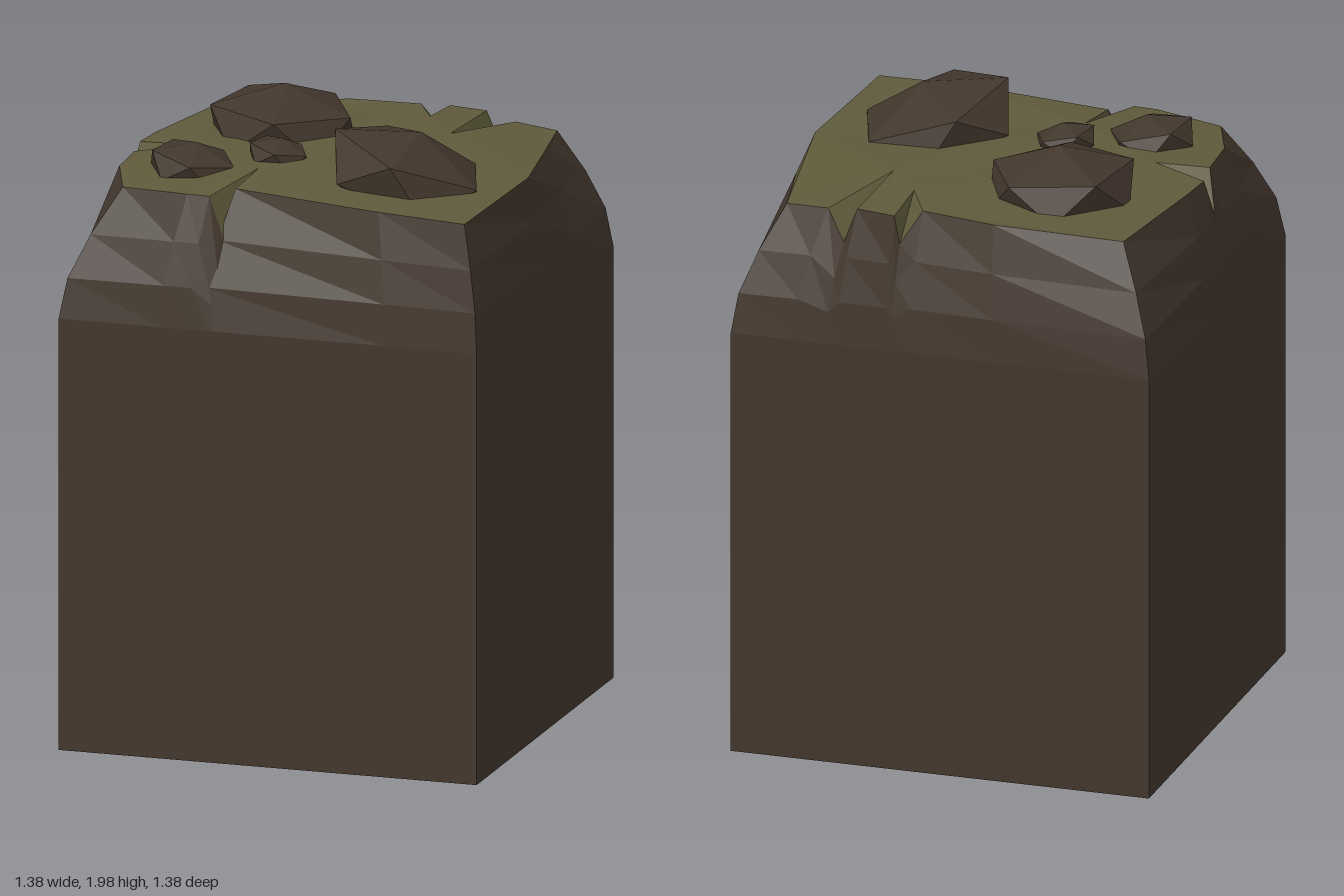
import * as THREE from 'three';

const soil = new THREE.MeshStandardMaterial({ color: 0x42362c, flatShading: true });
const grass = new THREE.MeshStandardMaterial({ color: 0x5f5a3b, flatShading: true });

// Rim of the turf, counterclockwise from above: [x, z, y].
// A crack is an object: left lip, inner tip, right lip, and the low point on the wall.
const rim = [
  [-0.56, -0.55, 1.8],
  [-0.63, -0.1, 1.81],
  { lip: [-0.64, 0.02, 1.81], tip: [-0.46, 0.08, 1.83], end: [-0.62, 0.14, 1.81], low: [-0.66, 0.07, 1.68] },
  [-0.61, 0.32, 1.81],
  [-0.53, 0.53, 1.8],
  [-0.3, 0.585, 1.81],
  { lip: [-0.225, 0.59, 1.81], tip: [-0.15, 0.32, 1.84], end: [-0.165, 0.51, 1.82], low: [-0.165, 0.6, 1.65] },
  [0.34, 0.61, 1.81],
  [0.63, 0.63, 1.8],
  [0.655, 0.06, 1.81],
  [0.6, -0.3, 1.81],
  [0.55, -0.55, 1.8],
  { lip: [0.405, -0.575, 1.81], tip: [0.29, -0.27, 1.84], end: [0.3, -0.605, 1.83], low: [0.34, -0.62, 1.72] },
  { lip: [0.17, -0.63, 1.83], tip: [0.17, -0.43, 1.845], end: [0.09, -0.585, 1.84], low: [0.15, -0.635, 1.74] },
  [-0.15, -0.61, 1.83],
];
const HALF = 0.69;

const vec = ([x, z, y]) => new THREE.Vector3(x, y, z);

function facets(name, triangles, material) {
  const geometry = new THREE.BufferGeometry().setFromPoints(triangles);
  geometry.computeVertexNormals();
  const mesh = new THREE.Mesh(geometry, material);
  mesh.name = name;
  return mesh;
}

// Push a rim point out to the square footprint, snapping near-corners to the corner
function toSquare(p) {
  const k = HALF / Math.max(Math.abs(p.x), Math.abs(p.z));
  const snap = (v) => (Math.abs(v * k) > 0.62 ? Math.sign(v) * HALF : v * k);
  return new THREE.Vector3(snap(p.x), 1.4, snap(p.z));
}

// Earth block: rim flares to the square shoulder, then drops straight to the base
function earthBlock() {
  const top = rim.flatMap((e) => (e.lip ? [e.lip, e.low, e.end] : [e])).map(vec);
  const square = top.map(toSquare);
  const flare = (drop, out) => top.map((p, i) => {
    const q = p.clone().lerp(square[i], out);
    q.y = p.y + (1.4 - p.y) * drop;
    return q;
  });
  const base = square.map((p) => new THREE.Vector3(p.x, 0, p.z));
  const rings = [top, flare(0.35, 0.5), flare(0.68, 0.86), square, base];
  const tris = [];
  const centre = new THREE.Vector3();
  for (let i = 0; i < top.length; i++) {
    const j = (i + 1) % top.length;
    for (let r = 0; r < rings.length - 1; r++) {
      const [u, l] = [rings[r], rings[r + 1]];
      tris.push(u[i], l[i], l[j], u[i], l[j], u[j]);
    }
    tris.push(centre, base[j], base[i]);
  }
  return facets('earthBlock', tris, soil);
}

// Turf: the top face with the inner walls of the cracks
function turf() {
  const outline = rim.flatMap((e) => (e.lip ? [e.lip, e.tip, e.end] : [e])).map(vec);
  const flat = outline.map((p) => new THREE.Vector2(p.x, -p.z));
  const tris = THREE.ShapeUtils.triangulateShape(flat, []).flat().map((i) => outline[i]);
  for (const e of rim.filter((c) => c.lip)) {
    const [lip, tip, end, low] = [e.lip, e.tip, e.end, e.low].map(vec);
    tris.push(lip, low, tip, end, tip, low);
  }
  return facets('turf', tris, grass);
}

// Rock: a squashed icosahedron standing on a vertex, turned and tilted
function rock(name, x, y, z, radius, turn, tiltX, tiltZ) {
  const geometry = new THREE.IcosahedronGeometry(radius, 0);
  geometry.rotateZ(-Math.atan(2 / (1 + Math.sqrt(5))));
  geometry.rotateY(-THREE.MathUtils.degToRad(turn));
  geometry.scale(1, 0.5, 1);
  const mesh = new THREE.Mesh(geometry, soil);
  mesh.name = name;
  mesh.position.set(x, y, z);
  mesh.rotation.set(tiltX, 0, tiltZ);
  return mesh;
}

export function createModel() {
  const group = new THREE.Group();
  group.name = 'groundBlock';
  group.add(
    earthBlock(),
    turf(),
    rock('largeRockFront', 0.3, 1.83, 0.21, 0.29, 16, -0.1, -0.33),
    rock('largeRockBack', -0.25, 1.84, -0.225, 0.262, 8, 0, -0.06),
    rock('mediumRock', -0.375, 1.825, 0.3, 0.155, 6, 0, -0.2),
    rock('smallRock', -0.14, 1.845, 0.155, 0.108, 10, 0, -0.2),
  );
  return group;
}
